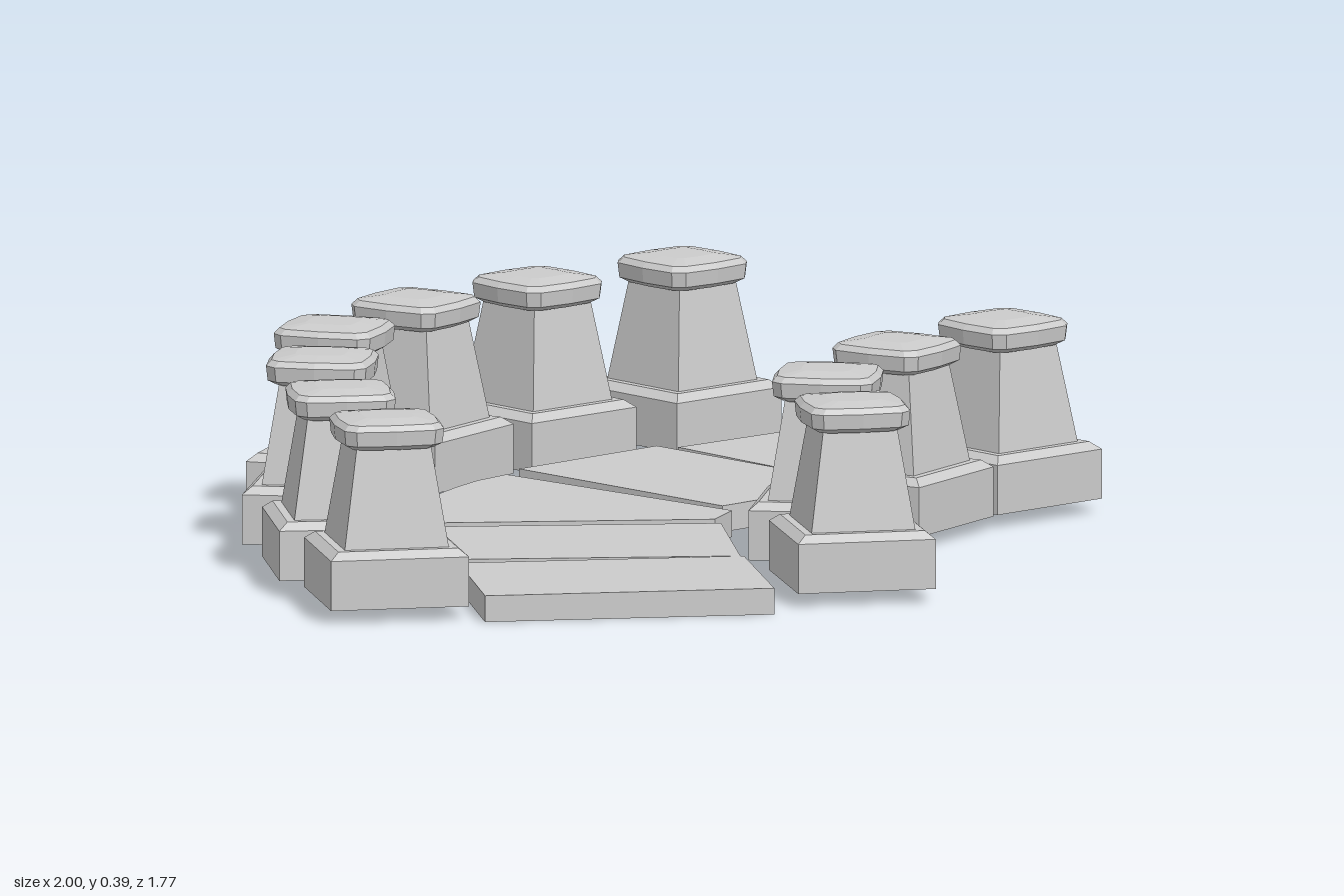
import * as THREE from 'three';

const stone = new THREE.MeshStandardMaterial({ color: 0xcccccc, flatShading: true });

// Solid lofted through scaled copies of a plan outline; rings are [y, scale], closed top and bottom.
function loft(outline, rings) {
  const n = outline.length;
  const pos = [];
  const index = [];
  for (const [y, s] of rings) for (const [x, z] of outline) pos.push(x * s, y, z * s);
  for (let r = 0; r < rings.length - 1; r++) {
    for (let j = 0; j < n; j++) {
      const a = r * n + j;
      const b = r * n + (j + 1) % n;
      index.push(a, a + n, b, b, a + n, b + n);
    }
  }
  const bottom = pos.length / 3;
  const last = (rings.length - 1) * n;
  pos.push(0, rings[0][0], 0, 0, rings[rings.length - 1][0], 0);
  for (let j = 0; j < n; j++) {
    const k = (j + 1) % n;
    index.push(bottom, j, k, bottom + 1, last + k, last + j);
  }
  const g = new THREE.BufferGeometry();
  g.setAttribute('position', new THREE.Float32BufferAttribute(pos, 3));
  g.setIndex(index);
  g.computeVertexNormals();
  return g;
}

// Repeats one quarter of an outline around the centre.
function fourfold(quarter) {
  const out = [];
  for (let q = 0; q < 4; q++) {
    for (const [x, z] of quarter) out.push([[x, z], [-z, x], [-x, -z], [z, -x]][q]);
  }
  return out;
}

const square = fourfold([[1, 1]]);
const softSquare = fourfold([[1, 0], [0.94, 0.75], [0.75, 0.94]]);

const postParts = {
  plinth: loft(square, [[0.027, 0.137], [0.125, 0.137], [0.14, 0.119]]),
  shaft: loft(square, [[0.135, 0.104], [0.34, 0.073]]),
  cap: loft(softSquare, [[0.332, 0.085], [0.342, 0.102], [0.371, 0.105], [0.382, 0.095], [0.389, 0.05]]),
};

// Bollards: x, z, turn in degrees
const outerPosts = [
  [0.805, -0.713, 0], [0.447, -0.738, 0], [0.115, -0.722, 14], [-0.198, -0.612, 30],
  [-0.444, -0.374, 39], [-0.663, -0.078, -35], [-0.815, 0.225, -31],
];
const innerPosts = [[0.81, 0.214, 0], [0.489, 0.262, 16], [0.171, 0.414, 40], [-0.013, 0.69, -30]];

// Paving slabs as plan corners: x, z
const slabs = [
  [[0.62, -0.52], [1, -0.51], [0.98, 0.06], [0.61, 0.04]],
  [[0.23, -0.55], [0.60, -0.56], [0.62, 0.01], [0.25, 0.02]],
  [[0.17, -0.52], [0.23, 0.07], [0.14, 0.12], [-0.30, -0.22], [-0.275, -0.257], [-0.23, -0.32],
    [-0.163, -0.385], [-0.09, -0.44], [0, -0.48], [0.083, -0.508]],
  [[-0.32, -0.185], [0.12, 0.16], [-0.095, 0.455], [-0.55, 0.10]],
  [[-0.555, 0.145], [-0.09, 0.46], [-0.285, 0.765], [-0.76, 0.45]],
];

function addPosts(parent, name, places) {
  const row = new THREE.Group();
  row.name = name;
  for (const [x, z, turn] of places) {
    const post = new THREE.Group();
    post.name = 'bollard';
    for (const [part, geometry] of Object.entries(postParts)) {
      const mesh = new THREE.Mesh(geometry, stone);
      mesh.name = part;
      post.add(mesh);
    }
    post.position.set(x, 0, z);
    post.rotation.y = THREE.MathUtils.degToRad(turn);
    row.add(post);
  }
  parent.add(row);
}

export function createModel() {
  const model = new THREE.Group();
  model.name = 'curvedPathWithBollards';

  // Curved path
  const path = new THREE.Group();
  path.name = 'path';
  for (const corners of slabs) {
    const shape = new THREE.Shape(corners.map(([x, z]) => new THREE.Vector2(x, -z)));
    const g = new THREE.ExtrudeGeometry(shape, { depth: 0.052, bevelEnabled: false });
    g.rotateX(-Math.PI / 2);
    const slab = new THREE.Mesh(g, stone);
    slab.name = 'pavingSlab';
    path.add(slab);
  }
  model.add(path);

  // Bollards along both edges
  addPosts(model, 'outerBollards', outerPosts);
  addPosts(model, 'innerBollards', innerPosts);
  return model;
}
